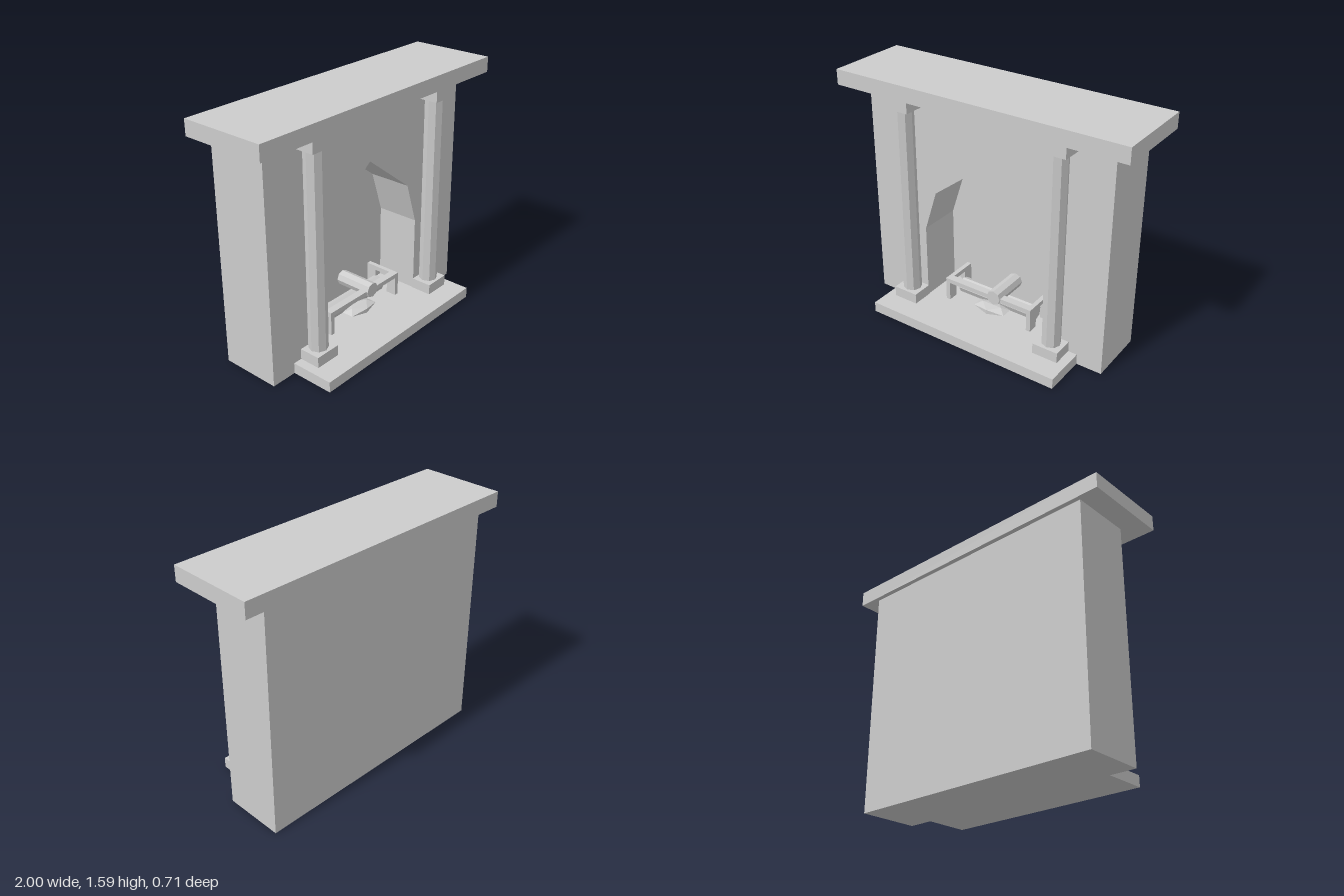
import * as THREE from 'three';

export function createModel() {
  const group = new THREE.Group();
  group.name = 'fireplace';
  const stone = new THREE.MeshStandardMaterial({ color: 0xcccccc });
  stone.name = 'pale grey stone';

  function add(name, geometry, x = 0, y = 0, z = 0) {
    const mesh = new THREE.Mesh(geometry, stone);
    mesh.name = name;
    mesh.position.set(x, y, z);
    group.add(mesh);
    return mesh;
  }

  // box given by its limits on each axis
  function box(name, x0, x1, y0, y1, z0, z1) {
    return add(name, new THREE.BoxGeometry(x1 - x0, y1 - y0, z1 - z0),
      (x0 + x1) / 2, (y0 + y1) / 2, (z0 + z1) / 2);
  }

  // flat-faced eight-sided prism, upright along y
  const prism = (r, h) => {
    const g = new THREE.CylinderGeometry(r, r, h, 8).toNonIndexed();
    g.computeVertexNormals();
    return g;
  };

  // chimney breast with a pointed arch opening
  const wall = new THREE.Shape([
    [-0.86, 0], [0.86, 0], [0.86, 1.49], [-0.86, 1.49],
  ].map(([x, y]) => new THREE.Vector2(x, y)));
  wall.holes.push(new THREE.Path([
    [-0.46, 0.07], [-0.46, 0.58], [-0.37, 0.86], [0, 1.145],
    [0.37, 0.86], [0.46, 0.58], [0.46, 0.07],
  ].map(([x, y]) => new THREE.Vector2(x, y))));
  add('chimneyBreast', new THREE.ExtrudeGeometry(wall, { depth: 0.29, bevelEnabled: false }), 0, 0, -0.22);
  box('fireback', -0.86, 0.86, 0, 1.49, -0.325, -0.22);

  // mantel shelf and hearth slab
  box('mantelShelf', -1, 1, 1.49, 1.59, -0.355, 0.21);
  box('hearth', -0.69, 0.69, 0, 0.07, 0.07, 0.355);

  for (const s of [-1, 1]) {
    // columns with square plinths and capitals
    const cx = s * 0.543;
    box('plinth', cx - 0.087, cx + 0.087, 0.07, 0.14, 0.07, 0.21);
    box('capital', cx - 0.087, cx + 0.087, 1.42, 1.49, 0.07, 0.21);
    add('column', prism(0.061, 1.28), cx, 0.78, 0.132);

    // grate sides: an arm on two legs
    const gx = s * 0.315;
    box('grateArm', gx - 0.015, gx + 0.015, 0.2, 0.23, -0.2, 0.04);
    box('grateFrontLeg', gx - 0.015, gx + 0.015, 0.07, 0.2, -0.03, 0.04);
    box('grateBackLeg', gx - 0.015, gx + 0.015, 0.07, 0.2, -0.2, -0.13);
  }
  box('grateFrontBar', -0.3, 0.3, 0.2, 0.23, -0.01, 0.04);

  // crossed logs
  const lowerLog = add('lowerLog', prism(0.052, 0.58), 0, 0.122, -0.1);
  lowerLog.rotation.set(Math.PI / 2, 0, Math.PI / 2);
  const upperLog = add('upperLog', prism(0.05, 0.26), 0.055, 0.225, -0.08);
  upperLog.rotation.x = Math.PI / 2;

  // faceted ember
  const ember = new THREE.IcosahedronGeometry(1, 0);
  ember.scale(0.137, 0.028, 0.075);
  ember.computeVertexNormals();
  add('ember', ember, 0, 0.094, -0.015);

  return group;
}
